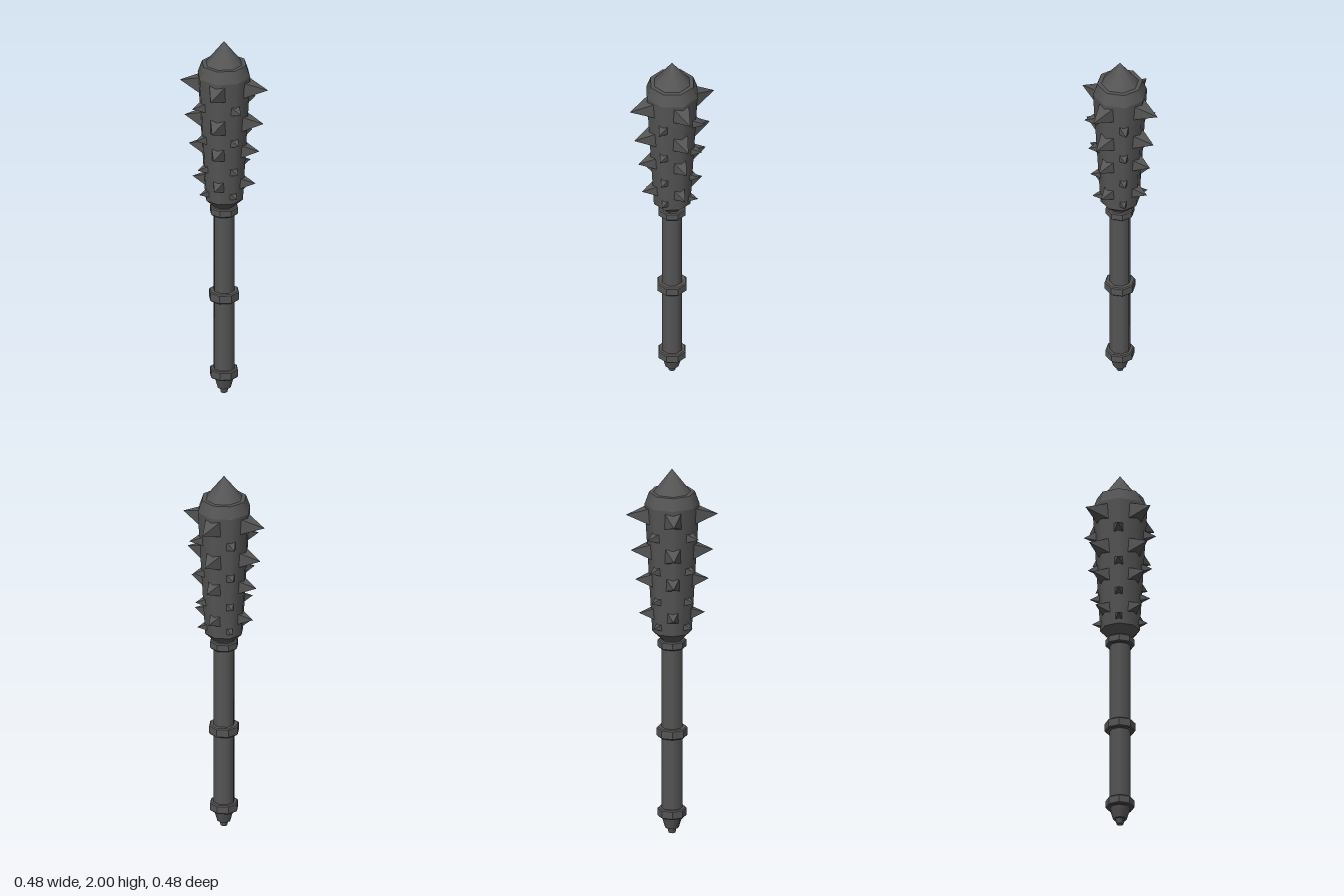
import * as THREE from 'three';

const SIDES = 8;

export function createModel() {
  const model = new THREE.Group();
  const iron = new THREE.MeshStandardMaterial({ color: 0x555555 });
  iron.name = 'darkIron';

  const add = (parent, name, geometry) => {
    const mesh = new THREE.Mesh(geometry, iron);
    mesh.name = name;
    parent.add(mesh);
    return mesh;
  };

  const faceted = (geometry) => {
    const flat = geometry.toNonIndexed();
    flat.computeVertexNormals();
    return flat;
  };

  // Turned part: [radius, y] points from bottom to top, crisp edges between bands
  const turned = (name, profile, flat = false) => {
    const part = new THREE.Group();
    part.name = name;
    for (let i = 0; i < profile.length - 1; i++) {
      const [r0, y0] = profile[i];
      const [r1, y1] = profile[i + 1];
      const band = new THREE.LatheGeometry(
        [new THREE.Vector2(r0, y0), new THREE.Vector2(r1, y1)], SIDES);
      add(part, name + 'Band', flat ? faceted(band) : band);
    }
    model.add(part);
  };

  // Pommel and handle
  turned('pommel', [[0, 0], [0.018, 0], [0.024, 0.028], [0.036, 0.028], [0.054, 0.09]]);
  turned('handle', [[0.056, 0.1], [0.056, 1.05]]);

  // Chamfered collars around the handle
  const collar = (name, y0, y1, r) => turned(name, [
    [0.05, y0], [r - 0.006, y0], [r, y0 + 0.006],
    [r, y1 - 0.006], [r - 0.006, y1], [0.05, y1],
  ], true);
  collar('lowerCollar', 0.09, 0.14, 0.076);
  collar('middleCollar', 0.53, 0.583, 0.081);
  collar('upperCollar', 1.02, 1.065, 0.076);

  // Flared club head and pointed cap
  turned('head', [
    [0.055, 1.06], [0.06, 1.07], [0.103, 1.11], [0.143, 1.81], [0.12, 1.875], [0, 1.875],
  ]);
  turned('topPoint', [[0.098, 1.875], [0, 2]]);

  // Square pyramid spikes; each row is [height, base depth, tip radius, half base]
  const spikes = new THREE.Group();
  spikes.name = 'spikes';
  model.add(spikes);
  const spikeRows = (name, rows, offset) => {
    for (const [y, base, tip, half] of rows) {
      const geometry = faceted(new THREE.ConeGeometry(half * Math.SQRT2, tip - base, 4));
      geometry.rotateY(Math.PI / 4);
      geometry.rotateX(Math.PI / 2);
      geometry.translate(0, 0, (tip + base) / 2);
      for (let i = 0; i < 4; i++) {
        const spike = add(spikes, name, geometry);
        spike.position.y = y;
        spike.rotation.y = offset + i * Math.PI / 2;
      }
    }
  };
  spikeRows('largeSpike', [
    [1.75, 0.11, 0.24, 0.047],
    [1.555, 0.105, 0.215, 0.043],
    [1.395, 0.1, 0.192, 0.036],
    [1.21, 0.09, 0.172, 0.031],
  ], 0);
  spikeRows('smallSpike', [
    [1.65, 0.115, 0.189, 0.027],
    [1.463, 0.105, 0.168, 0.025],
    [1.294, 0.098, 0.157, 0.022],
    [1.152, 0.09, 0.146, 0.02],
  ], Math.PI / 4);

  return model;
}
